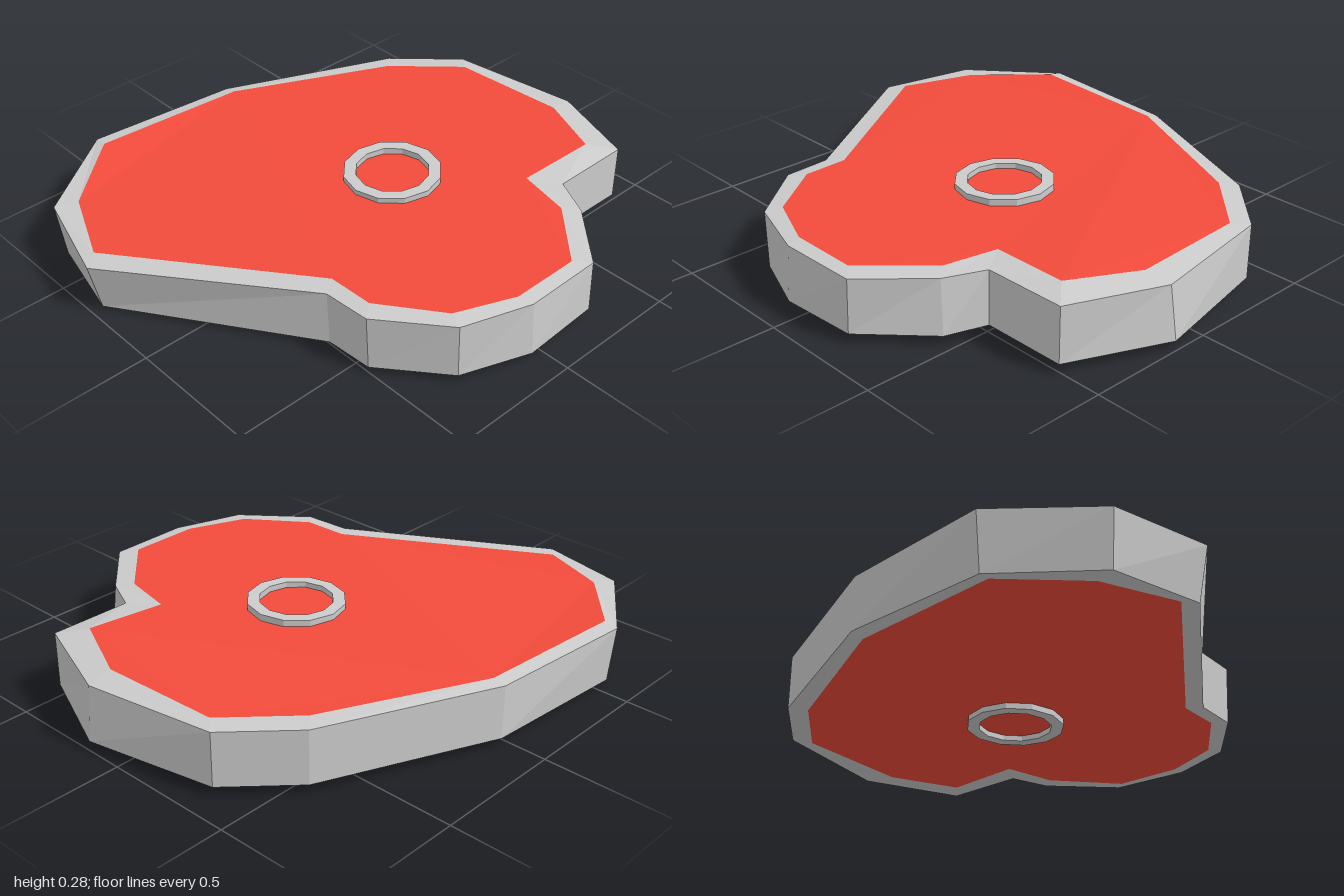
import * as THREE from 'three';

// Outline points, in order left, back, right, front: [x, y, z]
const topOuter = [
  [-1, 0.205, -0.31], [-0.9, 0.22, -0.665], [-0.55, 0.24, -0.9], [0.04, 0.24, -0.85], [0.68, 0.245, -0.57],
  [0.9, 0.245, -0.355], [0.975, 0.24, 0.15], [0.84, 0.248, 0.51], [0.52, 0.245, 0.51], [0.45, 0.24, 0.655],
  [0.25, 0.24, 0.875], [-0.06, 0.24, 0.88], [-0.32, 0.24, 0.795], [-0.51, 0.24, 0.56], [-0.52, 0.24, 0.38],
];
const topInner = [
  [-0.94, 0.215, -0.355], [-0.82, 0.228, -0.625], [-0.555, 0.248, -0.845], [0.04, 0.25, -0.8], [0.625, 0.252, -0.52],
  [0.85, 0.252, -0.3], [0.875, 0.256, 0.16], [0.755, 0.267, 0.42], [0.445, 0.25, 0.4], [0.4, 0.247, 0.605],
  [0.195, 0.247, 0.825], [-0.075, 0.247, 0.825], [-0.295, 0.247, 0.735], [-0.455, 0.247, 0.515], [-0.46, 0.247, 0.34],
];
// Sideways lean of the wall from top to bottom at each corner: [dx, dz]
const lean = [
  [0.04, 0], [0.02, 0.015], [0, 0.02], [0, 0], [0, 0],
  [0, 0], [0.025, -0.01], [0, 0], [0, 0], [0.02, 0.01],
  [0, 0.005], [0, 0.013], [0.005, 0], [0.01, 0], [0.01, 0],
];
// The underside rises gently from left to right
const bottomOuter = topOuter.map(([x, , z], i) =>
  [x + lean[i][0], THREE.MathUtils.clamp(0.034 + x * 0.024, 0.012, 0.038), z + lean[i][1]]);
const bottomInner = topInner.map(([x, , z]) =>
  [x + (x < -0.6 ? 0.02 : 0), THREE.MathUtils.clamp(0.024 + x * 0.012, 0.012, 0.03), z]);

function flatMesh(name, triangles, color) {
  const geometry = new THREE.BufferGeometry();
  geometry.setAttribute('position', new THREE.Float32BufferAttribute(triangles.flat(), 3));
  geometry.computeVertexNormals();
  const mesh = new THREE.Mesh(geometry, new THREE.MeshStandardMaterial({ color, flatShading: true }));
  mesh.name = name;
  return mesh;
}

// Closed band joining successive outlines
function bands(loops) {
  const tris = [];
  for (let k = 0; k < loops.length - 1; k++) {
    const a = loops[k], b = loops[k + 1];
    a.forEach((p, i) => {
      const j = (i + 1) % a.length;
      tris.push(p, a[j], b[j], p, b[j], b[i]);
    });
  }
  return tris;
}

// Fill an outline, facing up or down
function fill(loop, up) {
  const contour = loop.map(([x, , z]) => new THREE.Vector2(x, z));
  const tris = [];
  for (const [i, j, k] of THREE.ShapeUtils.triangulateShape(contour, [])) {
    const facesUp = THREE.ShapeUtils.area([contour[i], contour[j], contour[k]]) < 0;
    const order = facesUp === up ? [i, j, k] : [i, k, j];
    tris.push(...order.map((n) => loop[n]));
  }
  return tris;
}

export function createModel() {
  const group = new THREE.Group();
  group.name = 'steak';

  // Fat around the edge, wrapping onto both faces
  group.add(flatMesh('fatRim', bands([topInner, topOuter, bottomOuter, bottomInner]), 0xcccccc));

  // Meat on both faces
  const red = 0xf24b3b;
  group.add(flatMesh('meatTop', fill(topInner, true), red));
  group.add(flatMesh('meatBottom', fill(bottomInner, false), red));

  // Hollow bone passing through the meat
  const outer = 0.183, inner = 0.137, half = 0.134;
  const profile = [[outer, -half], [outer, half], [inner, half], [inner, -half], [outer, -half]]
    .map(([r, y]) => new THREE.Vector2(r, y));
  const bone = new THREE.Mesh(
    new THREE.LatheGeometry(profile, 12),
    new THREE.MeshStandardMaterial({ color: 0xcccccc, flatShading: true }),
  );
  bone.name = 'bone';
  bone.position.set(0.105, 0.138, 0.047);
  bone.rotation.z = 0.02;
  group.add(bone);

  return group;
}
